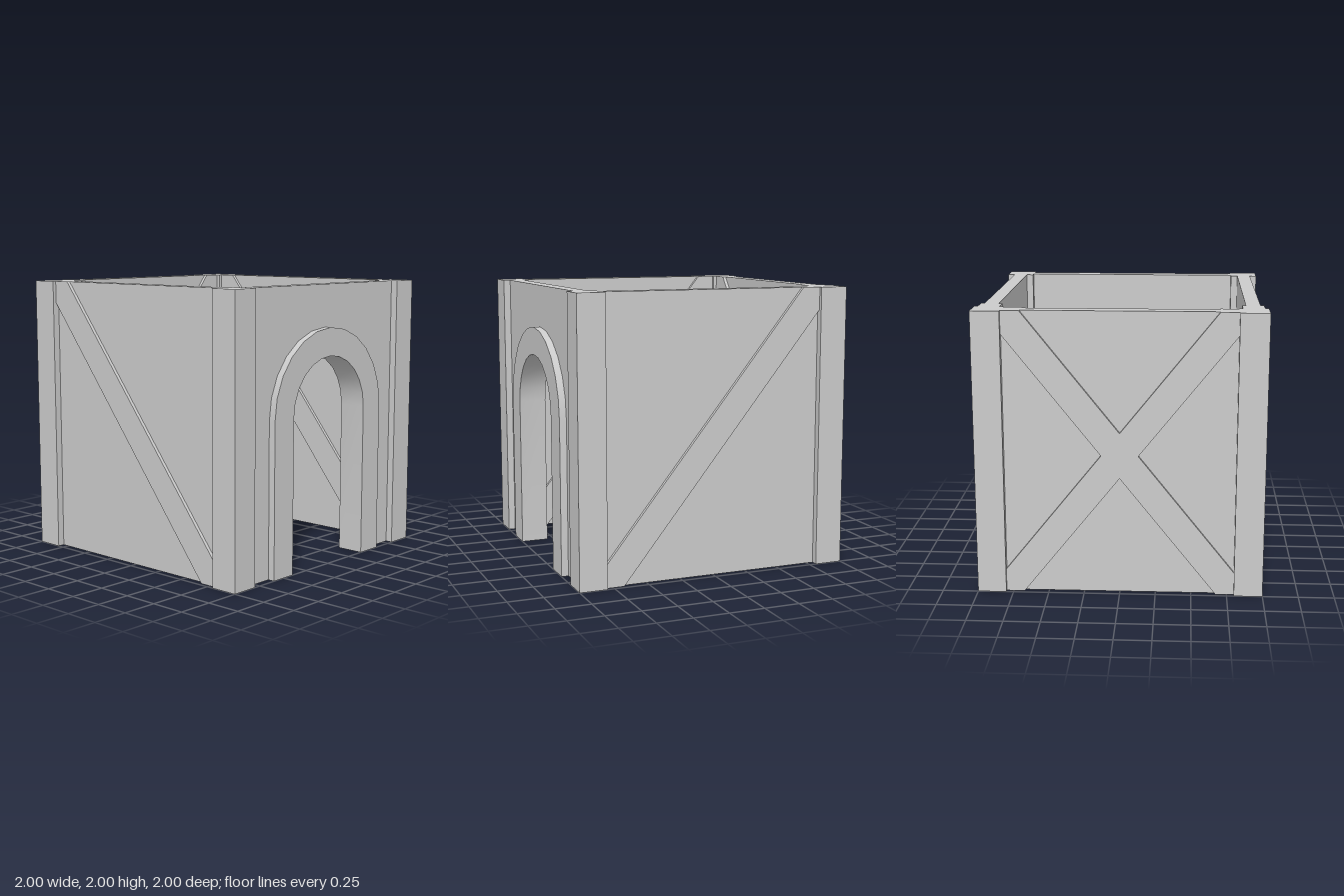
import * as THREE from 'three';
import { toCreasedNormals } from 'three/addons/utils/BufferGeometryUtils.js';

const HEIGHT = 2, HALF = 0.8, OFFSET = 0.9, POST = 0.2;
const WALL = 0.1, BRACE = 0.15, TRIM = 0.2, SPRING = 1.1;

export function createModel() {
  const model = new THREE.Group();
  const material = new THREE.MeshStandardMaterial({ color: 0xcccccc });

  const add = (parent, name, geometry) => {
    const mesh = new THREE.Mesh(geometry, material);
    mesh.name = name;
    parent.add(mesh);
    return mesh;
  };

  // Upright slab of a given thickness, centred on its own plane
  const slab = (shape, thickness) => {
    const g = new THREE.ExtrudeGeometry(shape, { depth: thickness, bevelEnabled: false, curveSegments: 6 });
    g.translate(0, 0, -thickness / 2);
    return toCreasedNormals(g, 0.4);
  };
  const polygon = (points) => new THREE.Shape(points.map(([x, y]) => new THREE.Vector2(x, y)));

  // Doorway outline traced from the right foot over the arch to the left foot
  const traceDoor = (shape, r) => {
    shape.lineTo(r, 0);
    shape.lineTo(r, SPRING);
    shape.absarc(0, SPRING, r, 0, Math.PI, false);
    shape.lineTo(-r, 0);
  };

  const wallGroup = (name, x, z, turn) => {
    const group = new THREE.Group();
    group.name = name;
    group.position.set(x, 0, z);
    group.rotation.y = turn;
    model.add(group);
    return group;
  };
  const panel = () => new THREE.BoxGeometry(HALF * 2, HEIGHT, WALL).translate(0, HEIGHT / 2, 0);

  // Corner posts
  for (const x of [-OFFSET, OFFSET]) {
    for (const z of [-OFFSET, OFFSET]) {
      add(model, 'cornerPost', new THREE.BoxGeometry(POST, HEIGHT, POST)).position.set(x, HEIGHT / 2, z);
    }
  }

  // Front and back walls with one diagonal brace, high on the -x side
  const diagonal = polygon([
    [-0.8, 2], [-0.8, 1.84], [0.672, 0], [0.8, 0], [0.8, 0.16], [-0.672, 2],
  ]);
  for (const [name, z] of [['frontWall', OFFSET], ['backWall', -OFFSET]]) {
    const wall = wallGroup(name, 0, z, 0);
    add(wall, 'panel', panel());
    add(wall, 'diagonalBrace', slab(diagonal, BRACE));
  }

  // Cross-braced wall
  const halfCross = [
    [0, 0.84], [0.672, 0], [0.8, 0], [0.8, 0.16], [0.128, 1],
    [0.8, 1.84], [0.8, 2], [0.672, 2], [0, 1.16],
  ];
  const mirrored = halfCross.slice(1, -1).reverse().map(([x, y]) => [-x, y]);
  const crossWall = wallGroup('crossBracedWall', -OFFSET, 0, Math.PI / 2);
  add(crossWall, 'panel', panel());
  add(crossWall, 'crossBrace', slab(polygon([...halfCross, ...mirrored]), BRACE));

  // Doorway wall; its cut edge is buried inside the arch surround
  const doorWall = wallGroup('doorwayWall', OFFSET, 0, Math.PI / 2);
  const doorPanel = new THREE.Shape();
  doorPanel.moveTo(-HALF, 0);
  doorPanel.lineTo(-HALF, HEIGHT);
  doorPanel.lineTo(HALF, HEIGHT);
  doorPanel.lineTo(HALF, 0);
  traceDoor(doorPanel, 0.5);
  add(doorWall, 'panel', slab(doorPanel, WALL));

  // Arch surround
  const surround = new THREE.Shape();
  surround.moveTo(0.6, 0);
  surround.lineTo(0.6, SPRING);
  surround.absarc(0, SPRING, 0.6, 0, Math.PI, false);
  surround.lineTo(-0.6, 0);
  surround.lineTo(-0.4, 0);
  surround.lineTo(-0.4, SPRING);
  surround.absarc(0, SPRING, 0.4, Math.PI, 0, true);
  surround.lineTo(0.4, 0);
  add(doorWall, 'archSurround', slab(surround, TRIM));

  return model;
}
